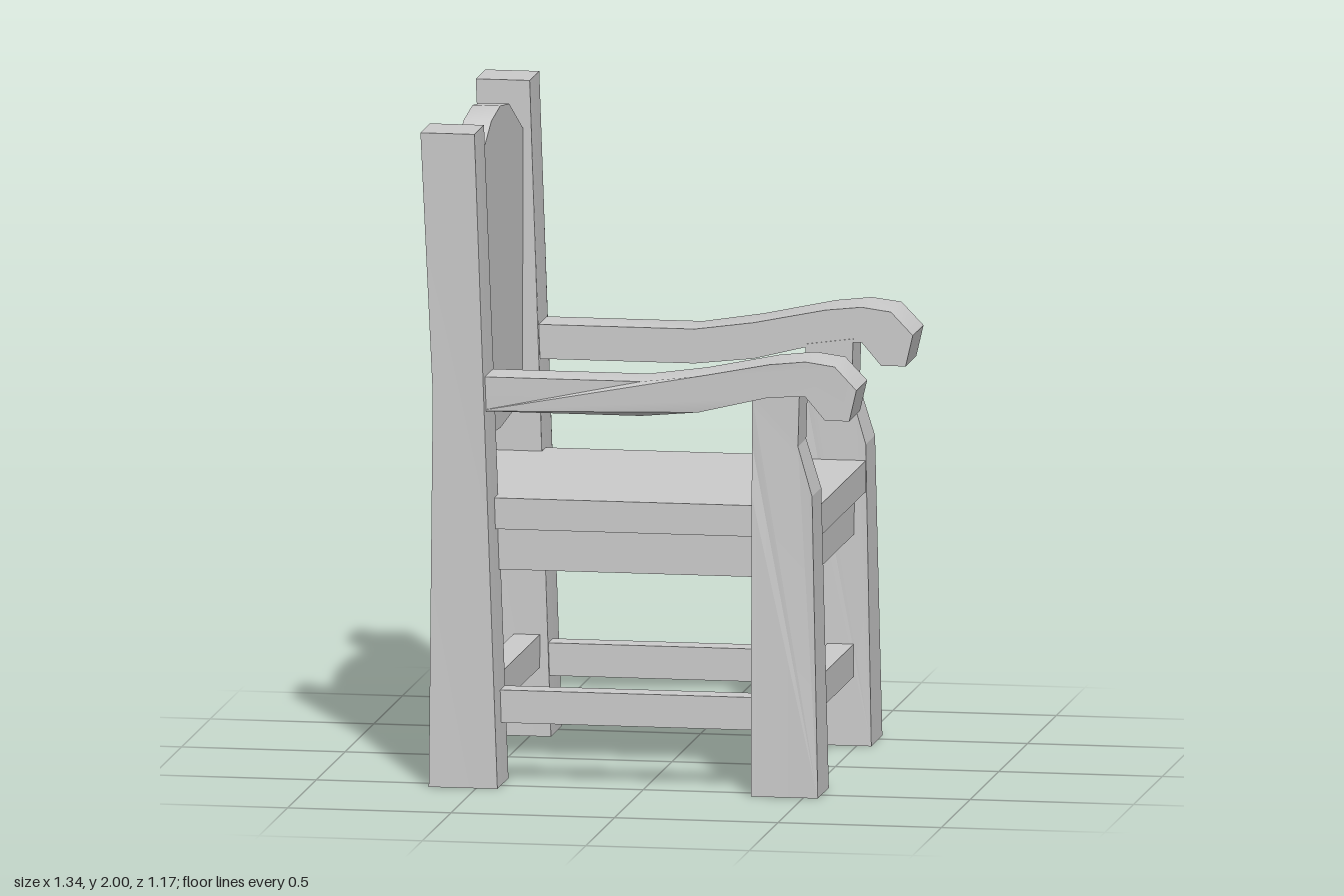
import * as THREE from 'three';
import { toCreasedNormals } from 'three/addons/utils/BufferGeometryUtils.js';

const material = new THREE.MeshStandardMaterial({ color: 0xcccccc });

// Piecewise-linear lookup in a list of [key, value] pairs
function lookup(table, k) {
  for (let i = 1; i < table.length; i++) {
    const [a, va] = table[i - 1], [b, vb] = table[i];
    if (k <= b) return va + (vb - va) * THREE.MathUtils.clamp((k - a) / (b - a), 0, 1);
  }
  return table[table.length - 1][1];
}

// Side profile in x/y, spanning inner(x, y) to outer(x, y) in z on one side of the chair
function sidePart(points, inner, outer, side, crease) {
  const shape = new THREE.Shape(points.map(([x, y]) => new THREE.Vector2(x, y)));
  const geo = new THREE.ExtrudeGeometry(shape, { depth: 1, bevelEnabled: false });
  const pos = geo.attributes.position;
  for (let i = 0; i < pos.count; i++) {
    const x = pos.getX(i), y = pos.getY(i);
    const isOuter = (pos.getZ(i) > 0.5) === (side > 0);
    pos.setZ(i, side * (isOuter ? outer(x, y) : inner(x, y)));
  }
  return toCreasedNormals(geo, crease);
}

export function createModel() {
  const group = new THREE.Group();
  const add = (name, geo) => {
    const mesh = new THREE.Mesh(geo, material);
    mesh.name = name;
    group.add(mesh);
    return mesh;
  };
  // Box given by its limits on each axis
  const box = (name, x0, x1, y0, y1, z0, z1) =>
    add(name, new THREE.BoxGeometry(x1 - x0, y1 - y0, z1 - z0))
      .position.set((x0 + x1) / 2, (y0 + y1) / 2, (z0 + z1) / 2);

  // Side profiles; the chair faces +x
  const post = [[-0.645, 0], [-0.435, 0], [-0.475, 1.2], [-0.505, 2], [-0.67, 2], [-0.635, 1.2]];
  const leg = [[0.34, 0], [0.545, 0], [0.525, 0.92], [0.48, 1.07], [0.485, 1.24],
    [0.34, 1.22], [0.34, 1.07], [0.34, 0.92]];
  const arm = [[-0.5, 1.15], [0, 1.15], [0.18, 1.17], [0.34, 1.21], [0.4, 1.225], [0.51, 1.23],
    [0.57, 1.16], [0.645, 1.16], [0.667, 1.255], [0.6, 1.325], [0.51, 1.337], [0.4, 1.325],
    [0.18, 1.28], [0, 1.255], [-0.5, 1.255]];

  // Width rules: legs and posts by height, arms by length
  const postIn = [[0, 0.37], [1.2, 0.39], [2, 0.398]];
  const postOut = [[0, 0.563], [1.2, 0.55], [2, 0.565]];
  const legIn = [[0, 0.37], [0.92, 0.387], [1.07, 0.394], [1.24, 0.394]];
  const legOut = [[0, 0.562], [0.92, 0.548], [1.07, 0.538], [1.24, 0.54]];
  const armOut = [[0, 0.54], [0.18, 0.563], [0.4, 0.577], [0.667, 0.585]];

  for (const s of [1, -1]) {
    add('backPost', sidePart(post, (x, y) => lookup(postIn, y), (x, y) => lookup(postOut, y), s, 0.2));
    add('frontLeg', sidePart(leg, (x, y) => lookup(legIn, y), (x, y) => lookup(legOut, y), s, 0.2));
    add('armRest', sidePart(arm, () => 0.397, (x) => lookup(armOut, x), s, 0.7));
    // Side rail under the seat and side stretcher near the floor
    const [r0, r1] = s > 0 ? [0.34, 0.41] : [-0.41, -0.34];
    const [t0, t1] = s > 0 ? [0.38, 0.46] : [-0.46, -0.38];
    box('sideRail', -0.52, 0.4, 0.645, 0.775, r0, r1);
    box('sideStretcher', -0.52, 0.4, 0.185, 0.285, t0, t1);
  }

  // Seat with front and back rails and stretchers
  box('seat', -0.62, 0.525, 0.775, 0.87, -0.45, 0.45);
  box('frontRail', 0.42, 0.49, 0.645, 0.775, -0.42, 0.42);
  box('backRail', -0.58, -0.51, 0.645, 0.775, -0.42, 0.42);
  box('frontStretcher', 0.41, 0.49, 0.21, 0.31, -0.42, 0.42);
  box('backStretcher', -0.55, -0.47, 0.21, 0.31, -0.42, 0.42);

  // Back panel with an arched top, drawn face-on and turned to face +x
  const outline = [[-0.41, 1.03], [0, 1.005], [0.41, 1.03], [0.41, 1.847], [0.155, 1.97],
    [0, 1.99], [-0.155, 1.97], [-0.41, 1.847]];
  const panel = new THREE.ExtrudeGeometry(
    new THREE.Shape(outline.map(([z, y]) => new THREE.Vector2(z, y))),
    { depth: 0.085, bevelEnabled: false });
  panel.rotateY(Math.PI / 2).translate(-0.61, 0, 0);
  add('backPanel', toCreasedNormals(panel, 0.7));

  return group;
}
